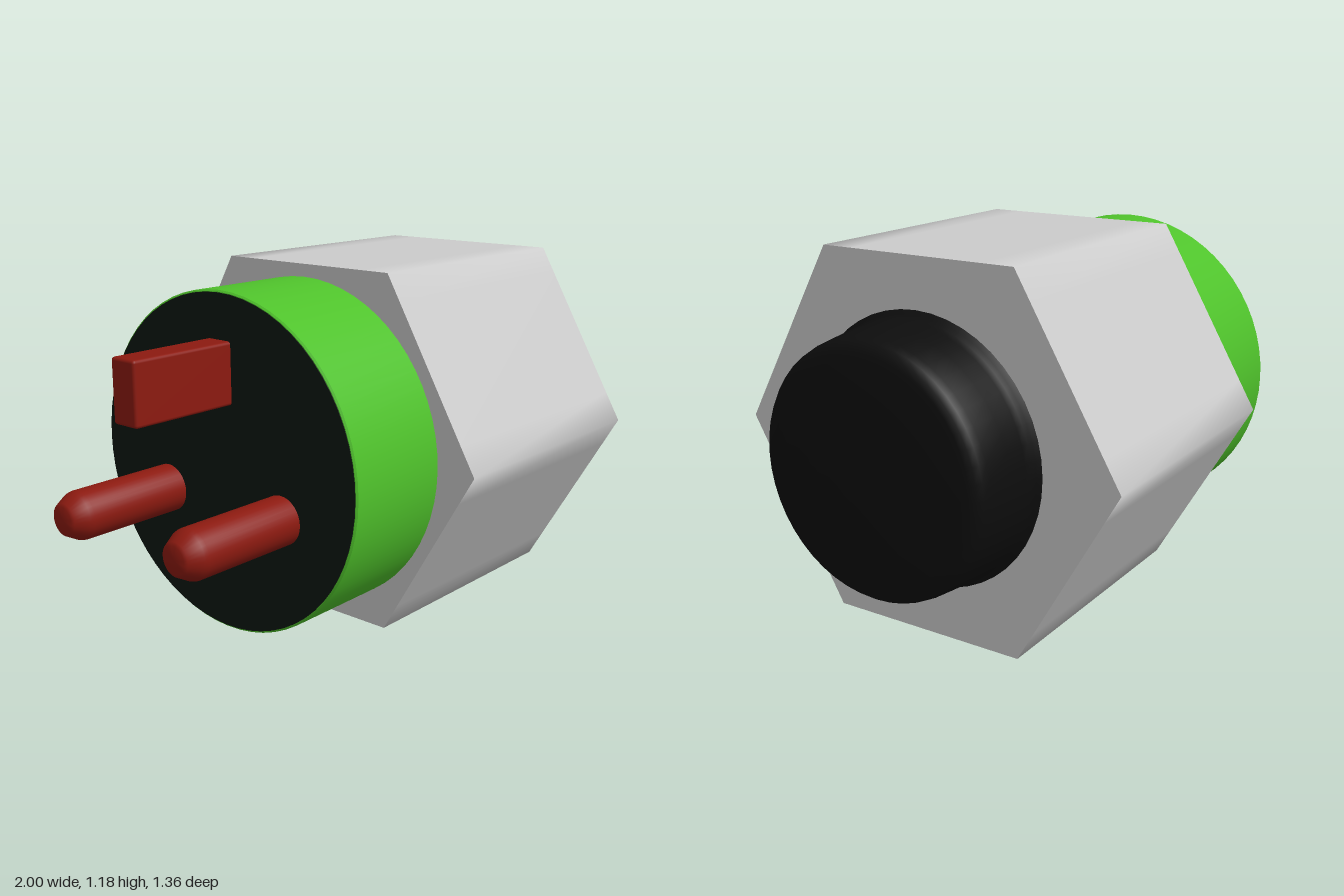
import * as THREE from 'three';
import { toCreasedNormals } from 'three/addons/utils/BufferGeometryUtils.js';
import { RoundedBoxGeometry } from 'three/addons/geometries/RoundedBoxGeometry.js';

const AXIS_Y = 0.59; // height of the long axis

const paint = (color) => new THREE.MeshStandardMaterial({ color });

function add(parent, name, geometry, material, x = 0, y = 0, z = 0) {
  const mesh = new THREE.Mesh(geometry, material);
  mesh.name = name;
  mesh.position.set(x, y, z);
  parent.add(mesh);
  return mesh;
}

// Solid of revolution about the x axis; profile is [x, radius] in rising x
function turned(profile, segments, crease = 0.7) {
  const points = profile.map(([x, r]) => new THREE.Vector2(r, x));
  const geometry = new THREE.LatheGeometry(points, segments);
  geometry.rotateZ(-Math.PI / 2);
  return toCreasedNormals(geometry, crease);
}

// Hexagonal prism along x, with softened shading beside its long edges
function hexPrism(radius, length) {
  const corner = (i) => new THREE.Vector2(Math.cos((i * Math.PI) / 3), Math.sin((i * Math.PI) / 3)).multiplyScalar(radius);
  const points = [];
  for (let i = 0; i < 6; i++) {
    const a = corner(i), b = corner(i + 1);
    points.push(a, a.clone().lerp(b, 0.16), a.clone().lerp(b, 0.84));
  }
  const geometry = new THREE.ExtrudeGeometry(new THREE.Shape(points), { depth: length, bevelEnabled: false });
  geometry.rotateY(Math.PI / 2);
  return toCreasedNormals(geometry, 1.2);
}

export function createModel() {
  const model = new THREE.Group();
  model.name = 'plugConnector';

  const grey = paint(0xcccccc);
  const green = paint(0x4fc22b);
  const black = paint(0x0d0d0d);
  const faceBlack = paint(0x0d1710);
  const red = paint(0x8c1a10);

  const body = new THREE.Group();
  body.name = 'plugBody';
  body.position.y = AXIS_Y;
  model.add(body);

  // Hexagonal grip
  add(body, 'hexGrip', hexPrism(0.68, 0.91), grey, -0.18);

  // Green collar and its dark contact face
  add(body, 'collar', turned([
    [-0.57, 0], [-0.57, 0.543], [-0.565, 0.548], [-0.185, 0.548], [-0.18, 0.543], [-0.18, 0],
  ], 64), green);
  add(body, 'contactFace', turned([[-0.572, 0], [-0.572, 0.541], [-0.56, 0.541]], 64), faceBlack);

  // Black end cap with a flared foot and a slightly domed end
  add(body, 'endCap', turned([
    [0.725, 0.432], [0.735, 0.428], [0.742, 0.418], [0.755, 0.411], [0.78, 0.408],
    [0.85, 0.403], [0.93, 0.394], [0.955, 0.388], [0.971, 0.376], [0.979, 0.358],
    [0.983, 0.335], [0.991, 0.24], [0.998, 0.12], [1.0, 0],
  ], 48, 0.9), black);

  // Pair of round pins with tapered tips
  const pin = turned([
    [-1, 0], [-1, 0.042], [-0.994, 0.052], [-0.952, 0.075], [-0.938, 0.078], [-0.56, 0.078], [-0.56, 0],
  ], 32);
  for (const side of [-1, 1]) {
    add(body, side > 0 ? 'frontRoundPin' : 'backRoundPin', pin, red, 0, -0.125, side * 0.25);
  }

  // Flat blade pin
  add(body, 'bladePin', new RoundedBoxGeometry(0.4, 0.198, 0.1, 2, 0.01), red, -0.745, 0.298, 0);

  return model;
}
